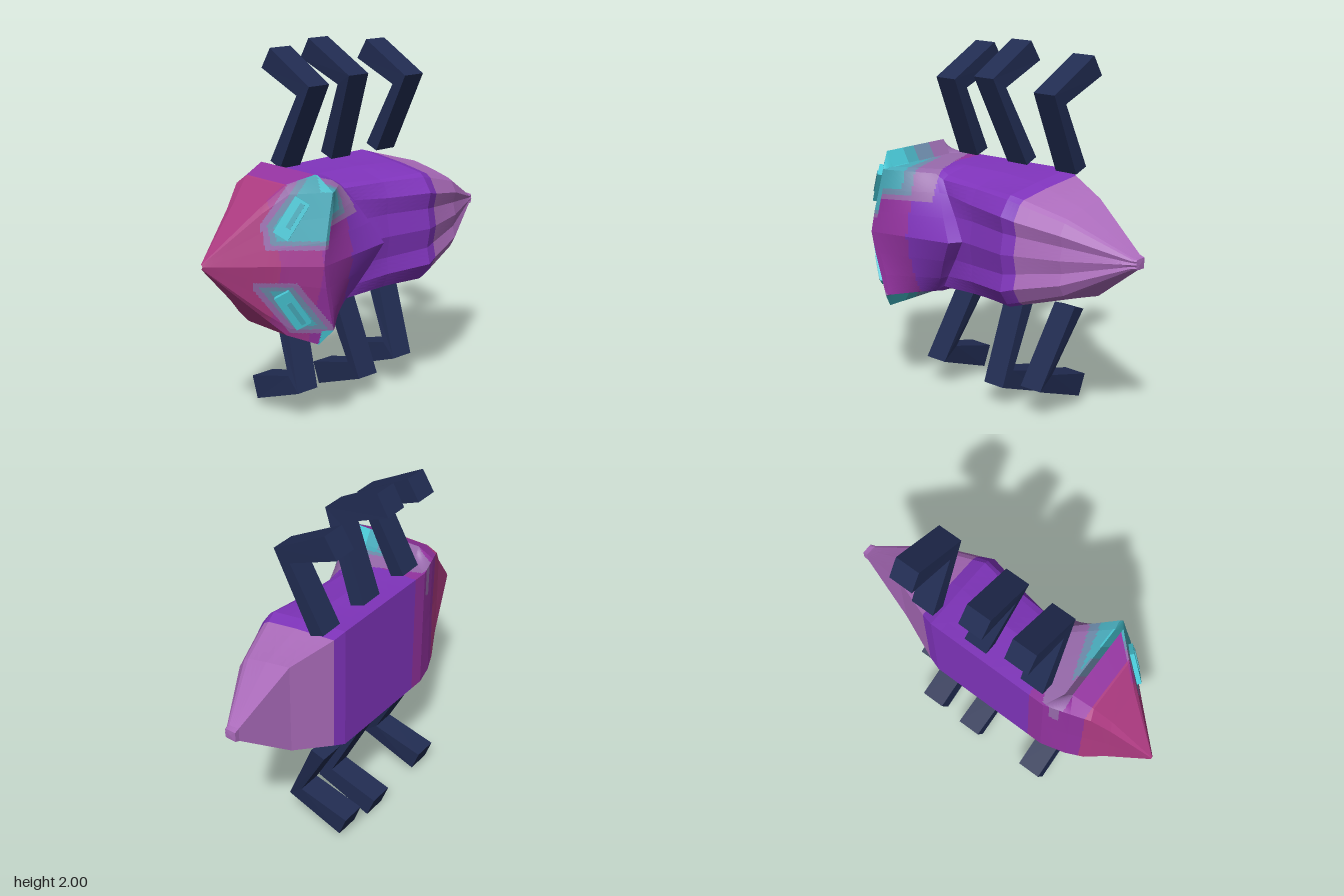
import * as THREE from 'three';

const mat = (name, color) => Object.assign(new THREE.MeshStandardMaterial({ color }), { name });
const M = {
  rose: mat('rose', 0xae3b82), magenta: mat('magenta', 0xa43892), plum: mat('plum', 0x9433a0),
  violet: mat('violet', 0x8034bc), mauve: mat('mauve', 0xac6cbc), teal: mat('teal', 0x48acbc),
  steel: mat('steel', 0x6e8cac), slate: mat('slate', 0x986aac), cyan: mat('cyan', 0x48c8d6),
  navy: mat('navy', 0x212c52),
};
const keys = Object.keys(M);
const midY = x => 0.974 + 0.02 * x; // the body is tilted very slightly

// Half cross-sections [x, half width, z], from the belly centre round the side to the back ridge
const nose = [0, 0.01, 0.012, 0.012, 0.011, 0.008, 0.004, 0]
  .map((w, i) => [-0.97, w, -0.08 + i * 0.002]);
const cheek = [[-0.75, 0, -0.15], [-0.74, 0.24, -0.155], [-0.72, 0.28, -0.12], [-0.72, 0.28, 0.08],
  [-0.72, 0.26, 0.105], [-0.73, 0.17, 0.12], [-0.74, 0.08, 0.137], [-0.75, 0, 0.15]];
const brow = [[-0.65, 0, -0.19], [-0.64, 0.35, -0.2], [-0.62, 0.39, -0.15], [-0.62, 0.39, 0.16],
  [-0.615, 0.35, 0.185], [-0.625, 0.22, 0.212], [-0.64, 0.1, 0.235], [-0.65, 0, 0.25]];
const rim = [[-0.54, 0, -0.235], [-0.54, 0.37, -0.24], [-0.5, 0.442, -0.17], [-0.5, 0.442, 0.27],
  [-0.46, 0.36, 0.337], [-0.49, 0.24, 0.343], [-0.52, 0.12, 0.352], [-0.54, 0, 0.36]];
const step = [[-0.4, 0, -0.28], [-0.4, 0.36, -0.28], [-0.455, 0.365, -0.17], [-0.455, 0.362, 0.27],
  [-0.445, 0.355, 0.328], [-0.46, 0.24, 0.335], [-0.49, 0.12, 0.345], [-0.51, 0, 0.355]];
const hoodEdge = [[-0.25, 0, -0.28], [-0.25, 0.36, -0.28], [-0.25, 0.352, -0.05], [-0.25, 0.345, 0.1],
  [-0.25, 0.33, 0.15], [-0.18, 0.24, 0.19], [-0.11, 0.12, 0.235], [-0.04, 0, 0.27]];
const hoodUnder = [[-0.2, 0, -0.28], [-0.2, 0.36, -0.28], [-0.2, 0.35, -0.05], [-0.2, 0.32, 0.1],
  [-0.2, 0.3, 0.14], [-0.15, 0.23, 0.16], [-0.08, 0.12, 0.175], [0, 0, 0.205]];
// Abdomen sections: x, then [half width, z]
const abdomen = [
  [0.06, [0, -0.28], [0.36, -0.28], [0.345, -0.05], [0.3, 0.13], [0.29, 0.16], [0.21, 0.2], [0.12, 0.19], [0, 0.21]],
  [0.32, [0, -0.28], [0.36, -0.28], [0.33, -0.02], [0.3, 0.18], [0.28, 0.205], [0.2, 0.26], [0.11, 0.24], [0, 0.26]],
  [0.39, [0, -0.26], [0.336, -0.26], [0.31, -0.02], [0.28, 0.16], [0.26, 0.19], [0.18, 0.237], [0.1, 0.218], [0, 0.237]],
  [0.63, [0, -0.165], [0.262, -0.165], [0.235, -0.02], [0.205, 0.1], [0.19, 0.125], [0.13, 0.16], [0.07, 0.142], [0, 0.16]],
  [0.94, [0, -0.09], [0.038, -0.09], [0.035, -0.06], [0.032, -0.03], [0.028, -0.02], [0.02, -0.014], [0.01, -0.018], [0, -0.012]],
  [0.968, [0, -0.09], [0.028, -0.09], [0.028, -0.07], [0.028, -0.045], [0.026, -0.03], [0.018, -0.024], [0.01, -0.028], [0, -0.022]],
  [0.97, ...Array.from({ length: 8 }, () => [0, -0.055])],
].map(([x, ...ps]) => ps.map(([w, z]) => [x, w, z]));

// Nested eye patch: grows from the middle of the patch towards its straight borders
function patchDepth(x, w, side) {
  const outer = -0.83 * (x + 0.63) + 0.55 * (w - 0.175);
  return side > 0
    ? Math.max(outer + 0.02, 0.205 - w, -0.61 - x)
    : Math.max(outer + 0.03, 0.215 - w, -0.65 - x, 0.075 - outer, w - 0.25);
}

function colourAt(x, w, z, side) {
  // ear rim wall, fading from the front edge backwards
  if (x > -0.502 && x < -0.45 && w > 0.36) {
    return z > 0.15 ? 'cyan' : z > 0.06 ? 'teal' : z > -0.05 ? 'steel' : 'slate';
  }
  const onFace = x < -0.45 && z + 0.07 - (x + 0.97) + 0.29 * w > -0.025;
  if (onFace) {
    const d = patchDepth(x, w, side);
    if (d < 0.08) return 'teal';
    if (d < 0.102) return 'steel';
    if (d < 0.125) return 'slate';
  }
  // patch behind the upper ear
  if (side > 0 && x > -0.48 && x < -0.2 && z > -0.27) {
    if (w > 0.25 && x < -0.44 + z * 0.25) return 'teal';
    if (w > 0.22 && x < -0.41 + z * 0.35) return 'steel';
    if (w > 0.19 && x < -0.38 + (z + 0.25) * 0.38) return 'slate';
  }
  if (x < (onFace ? -0.69 : -0.61)) return 'rose';
  if (x < -0.54 && onFace) return 'magenta';
  if (x < -0.31) return 'plum';
  return x < 0.39 ? 'violet' : 'mauve';
}

// Faceted skin through the sections, mirrored, with one geometry group per colour
function skin(name, rows, n) {
  const buckets = keys.map(() => []);
  const put = (side, a, b, c, d) => {
    const m = [0, 1, 2].map(k => (a[k] + b[k] + c[k] + d[k]) / 4);
    const list = buckets[keys.indexOf(colourAt(...m, side))];
    const order = side > 0 ? [a, b, c, b, d, c] : [a, c, b, b, c, d];
    for (const [x, w, z] of order) list.push(x, midY(x) + side * w, z);
  };
  for (let r = 0; r < rows.length - 1; r++) for (let k = 0; k < 7; k++) {
    const at = (u, v) => [0, 1, 2].map(i => THREE.MathUtils.lerp(
      THREE.MathUtils.lerp(rows[r][k][i], rows[r][k + 1][i], v),
      THREE.MathUtils.lerp(rows[r + 1][k][i], rows[r + 1][k + 1][i], v), u));
    for (let i = 0; i < n; i++) for (let j = 0; j < n; j++) for (const side of [1, -1])
      put(side, at(i / n, j / n), at(i / n, (j + 1) / n), at((i + 1) / n, j / n), at((i + 1) / n, (j + 1) / n));
  }
  const geo = new THREE.BufferGeometry();
  const used = [], all = [];
  buckets.forEach((b, i) => {
    if (!b.length) return;
    geo.addGroup(all.length / 3, b.length / 3, used.length);
    used.push(M[keys[i]]);
    for (const v of b) all.push(v);
  });
  geo.setAttribute('position', new THREE.Float32BufferAttribute(all, 3));
  geo.computeVertexNormals();
  const mesh = new THREE.Mesh(geo, used);
  mesh.name = name;
  return mesh;
}

// Bent leg: a flat (z, y) outline given thickness, leaning in x from base to knee to foot
function leg(name, outline, ys, xs, lift) {
  const shape = new THREE.Shape(outline.map(([z, y]) => new THREE.Vector2(z, y)));
  const geo = new THREE.ExtrudeGeometry(shape, { depth: 0.138, bevelEnabled: false });
  geo.translate(0, 0, -0.069).rotateY(-Math.PI / 2);
  const p = geo.attributes.position;
  for (let i = 0; i < p.count; i++) {
    const t = (p.getY(i) - ys[0]) / (ys[1] - ys[0]);
    const dx = t < 1 ? THREE.MathUtils.lerp(xs[0], xs[1], t)
      : THREE.MathUtils.lerp(xs[1], xs[2], Math.min(1, (t - 1) * 3));
    p.setX(i, p.getX(i) + dx);
    if (t > 0.5) p.setY(i, p.getY(i) + lift);
  }
  geo.computeVertexNormals();
  const mesh = new THREE.Mesh(geo, M.navy);
  mesh.name = name;
  return mesh;
}

// Slanted raised eye with a thin slit, lying on the face plane
function eye(side) {
  const g = new THREE.Group();
  g.name = side > 0 ? 'upperEye' : 'lowerEye';
  const normal = new THREE.Vector3(-0.69, 0.2 * side, 0.69).normalize();
  const along = new THREE.Vector3(0.1, 0.17 * side, 0.05);
  along.addScaledVector(normal, -along.dot(normal)).normalize();
  const across = new THREE.Vector3().crossVectors(along, normal);
  g.quaternion.setFromRotationMatrix(new THREE.Matrix4().makeBasis(across, along, normal));
  g.position.set(-0.62, midY(-0.62) + side * 0.235, 0.211).addScaledVector(normal, 0.01);
  const add = (name, w, h, d, x, y, z, m) => {
    const mesh = new THREE.Mesh(new THREE.BoxGeometry(w, h, d), m);
    mesh.position.set(x, y, z);
    mesh.name = name;
    g.add(mesh);
  };
  add('eyePlate', 0.085, 0.21, 0.03, 0, 0, 0, M.cyan);
  add('eyeSlit', 0.025, 0.14, 0.008, 0.01 * side, 0.02, 0.017, M.teal);
  return g;
}

export function createModel() {
  const model = new THREE.Group();
  model.name = 'beetle';
  model.add(skin('head', [nose, cheek, brow, rim], 22));
  model.add(skin('hood', [rim, step, hoodEdge, hoodUnder], 22));
  model.add(skin('abdomen', [hoodUnder, ...abdomen], 4));
  model.add(eye(1), eye(-1));

  const upper = [[-0.17, 1.35], [0.035, 1.81], [-0.275, 1.98], [-0.345, 1.87], [-0.06, 1.755], [-0.25, 1.38]];
  const lower = [[-0.17, 0.625], [-0.25, 0.595], [-0.055, 0.225], [-0.35, 0.145], [-0.305, 0.025], [0.035, 0.15]];
  const upperLegs = [[-0.305, -0.28, -0.275, -0.01], [0.055, 0, -0.01, 0.02], [0.395, 0.41, 0.415, -0.02]];
  const lowerLegs = [[-0.3, -0.375, -0.38, 0.015], [0.055, 0.07, 0.072, -0.02], [0.4, 0.34, 0.335, 0.03]];
  ['front', 'middle', 'rear'].forEach((n, i) => {
    const [a, b, c, up] = upperLegs[i], [d, e, f, down] = lowerLegs[i];
    model.add(leg(n + 'UpperLeg', upper, [1.36, 1.78], [a, b, c], up));
    model.add(leg(n + 'LowerLeg', lower, [0.61, 0.18], [d, e, f], down));
  });
  return model;
}
